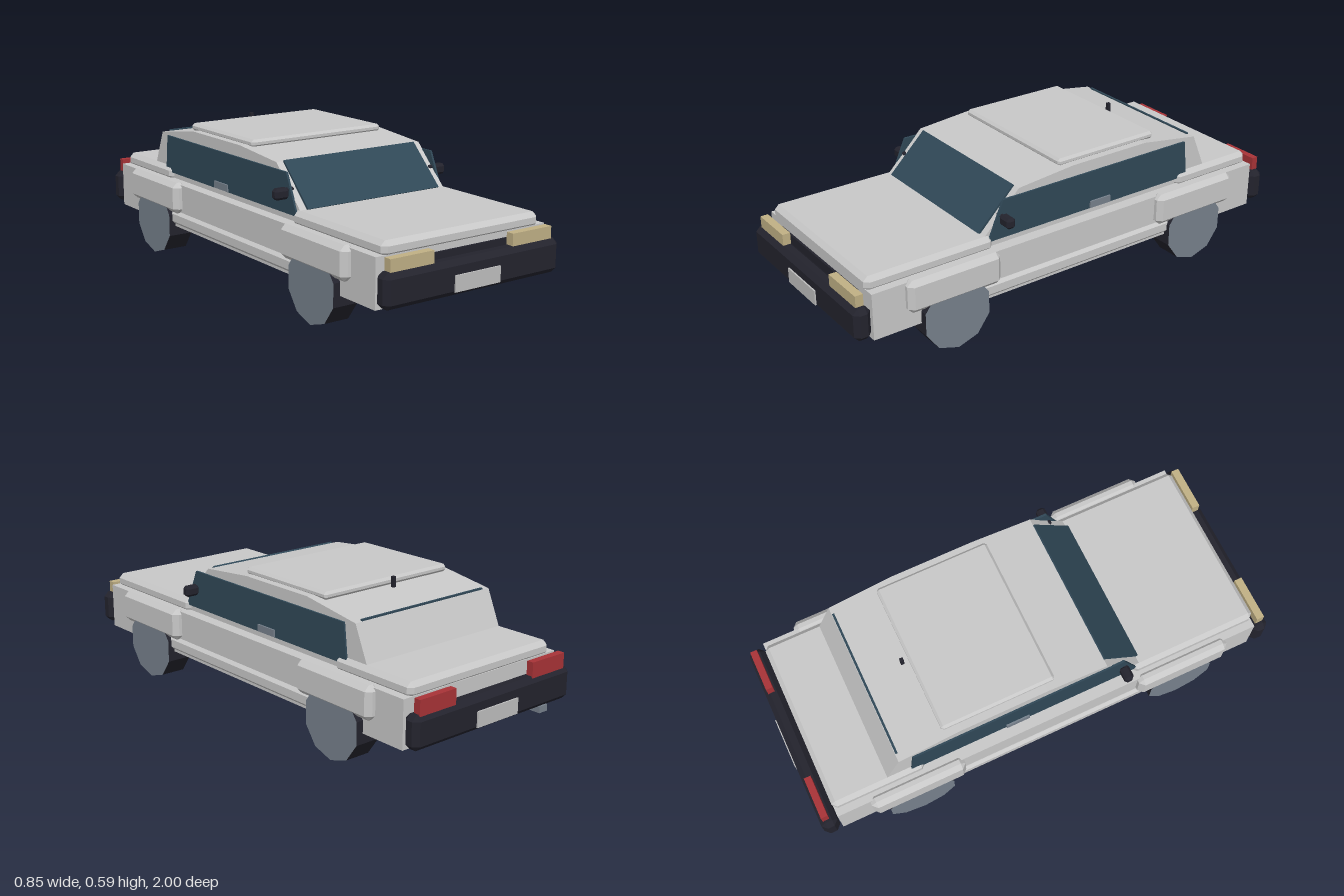
import * as THREE from 'three';
import { ConvexGeometry } from 'three/addons/geometries/ConvexGeometry.js';

const mat = (name, color) => {
  const m = new THREE.MeshStandardMaterial({ color });
  m.name = name;
  return m;
};

// Box with chamfered edges between two corners
function chamferBox([x0, y0, z0], [x1, y1, z1], c) {
  const h = [(x1 - x0) / 2, (y1 - y0) / 2, (z1 - z0) / 2];
  const points = [];
  for (const sx of [-1, 1]) for (const sy of [-1, 1]) for (const sz of [-1, 1]) {
    for (let axis = 0; axis < 3; axis++) {
      const d = h.map((v, i) => (i === axis ? v : v - c));
      points.push(new THREE.Vector3(sx * d[0], sy * d[1], sz * d[2]));
    }
  }
  return new ConvexGeometry(points).translate((x0 + x1) / 2, (y0 + y1) / 2, (z0 + z1) / 2);
}

function plainBox([x0, y0, z0], [x1, y1, z1]) {
  return new THREE.BoxGeometry(x1 - x0, y1 - y0, z1 - z0)
    .translate((x0 + x1) / 2, (y0 + y1) / 2, (z0 + z1) / 2);
}

// Side outline of [z, y] points, given thickness across x
function sideProfile(points, width, x = 0) {
  const shape = new THREE.Shape(points.map(([z, y]) => new THREE.Vector2(z, y)));
  return new THREE.ExtrudeGeometry(shape, { depth: width, bevelEnabled: false })
    .translate(0, 0, -width / 2).rotateY(-Math.PI / 2).translate(x, 0, 0);
}

export function createModel() {
  const paint = mat('body paint', 0xc8c8c8);
  const glass = mat('window glass', 0x304857);
  const trim = mat('dark trim', 0x23232d);
  const metal = mat('grey metal', 0x77818c);
  const amber = mat('headlight lens', 0xc0b085);
  const red = mat('tail light lens', 0xa83337);
  const plateGrey = mat('number plate', 0xbebebe);

  const car = new THREE.Group();
  car.name = 'car';
  const add = (name, geometry, material) => {
    const mesh = new THREE.Mesh(geometry, material);
    mesh.name = name;
    car.add(mesh);
    return mesh;
  };

  // Body, hood and rear deck
  add('lowerBody', plainBox([-0.393, 0.14, -0.92], [0.393, 0.327, 0.92]), paint);
  add('hood', chamferBox([-0.363, 0.315, 0.38], [0.363, 0.375, 0.925], 0.018), paint);
  add('rearDeck', chamferBox([-0.363, 0.315, -0.922], [0.363, 0.375, -0.53], 0.018), paint);

  // Cabin with a gently crowned roof
  add('cabin', sideProfile([
    [0.42, 0.32], [0.412, 0.372], [0.255, 0.53], [0, 0.553],
    [-0.36, 0.553], [-0.625, 0.513], [-0.685, 0.375], [-0.685, 0.32],
  ], 0.69), paint);
  add('roofPanel', chamferBox([-0.315, 0.545, -0.43], [0.315, 0.576, 0.045], 0.01), paint);
  add('antenna', plainBox([-0.007, 0.545, -0.463], [0.007, 0.587, -0.449]), trim);

  // Windshield and the strip of rear glass at the roof edge
  add('windshield', sideProfile([
    [0.411, 0.373], [0.42, 0.378], [0.26, 0.535], [0.254, 0.529],
  ], 0.63), glass);
  add('rearWindow', plainBox([-0.312, 0.5, -0.623], [0.312, 0.52, -0.614]), glass);

  // Bumpers and number plates
  for (const [end, s] of [['front', 1], ['rear', -1]]) {
    const z = (a, b) => (s > 0 ? [a, b] : [-b, -a]);
    const [b0, b1] = z(0.926, 0.994);
    add(end + 'Bumper', chamferBox([-0.405, 0.154, b0], [0.405, 0.284, b1], 0.02), trim);
    const [p0, p1] = z(0.992, 1);
    add(end + 'Plate', plainBox([-0.105, 0.171, p0], [0.105, 0.232, p1]), plateGrey);
  }
  add('grille', plainBox([-0.3, 0.2, 0.915], [0.3, 0.303, 0.929]), trim);
  add('exhaust', plainBox([-0.293, 0.129, -0.982], [-0.25, 0.155, -0.912]), metal);

  // Parts repeated on both sides
  for (const [side, s] of [['left', 1], ['right', -1]]) {
    const span = (a, b) => (s > 0 ? [a, b] : [-b, -a]);
    const sideBox = (name, [xa, xb], [y0, y1], [z0, z1], material, chamfer) => {
      const [x0, x1] = span(xa, xb);
      const lo = [x0, y0, z0], hi = [x1, y1, z1];
      add(side + name, chamfer ? chamferBox(lo, hi, chamfer) : plainBox(lo, hi), material);
    };

    // Wheels under chamfered arches
    for (const [end, z] of [['Front', 0.585], ['Rear', -0.583]]) {
      const tyre = new THREE.CylinderGeometry(0.145, 0.145, 0.105, 10)
        .toNonIndexed().rotateZ(Math.PI / 2).rotateX(Math.PI / 2);
      // A corner of the ten-sided wheel touches the ground
      tyre.rotateX(Math.PI);
      const pos = tyre.getAttribute('position');
      let low = 0;
      for (let i = 0; i < pos.count; i++) low = Math.min(low, pos.getY(i));
      if (low > -0.1445) tyre.rotateX(Math.PI / 10);
      tyre.computeVertexNormals();
      tyre.translate(s * 0.37, 0.145, z);
      add(side + end + 'Wheel', tyre, [trim, metal, metal]);
      sideBox(end + 'Arch', [0.368, 0.427], [0.205, 0.336], [z - 0.2, z + 0.2], paint, 0.02);
    }

    sideBox('Sill', [0.375, 0.407], [0.152, 0.208], [-0.5, 0.5], paint, 0.012);
    sideBox('Headlight', [0.183, 0.374], [0.275, 0.33], [0.943, 0.975], amber);
    sideBox('TailLight', [0.2, 0.375], [0.275, 0.338], [-0.981, -0.953], red);
    sideBox('DoorHandle', [0.345, 0.359], [0.353, 0.381], [-0.18, -0.08], metal);
    sideBox('Mirror', [0.348, 0.41], [0.407, 0.45], [0.312, 0.351], trim, 0.01);
    sideBox('MirrorStalk', [0.325, 0.36], [0.434, 0.45], [0.328, 0.348], trim, 0.006);

    add(side + 'Window', sideProfile([
      [0.4, 0.35], [0.33, 0.506], [-0.57, 0.506], [-0.587, 0.35],
    ], 0.009, s * 0.348), glass);
  }

  return car;
}
